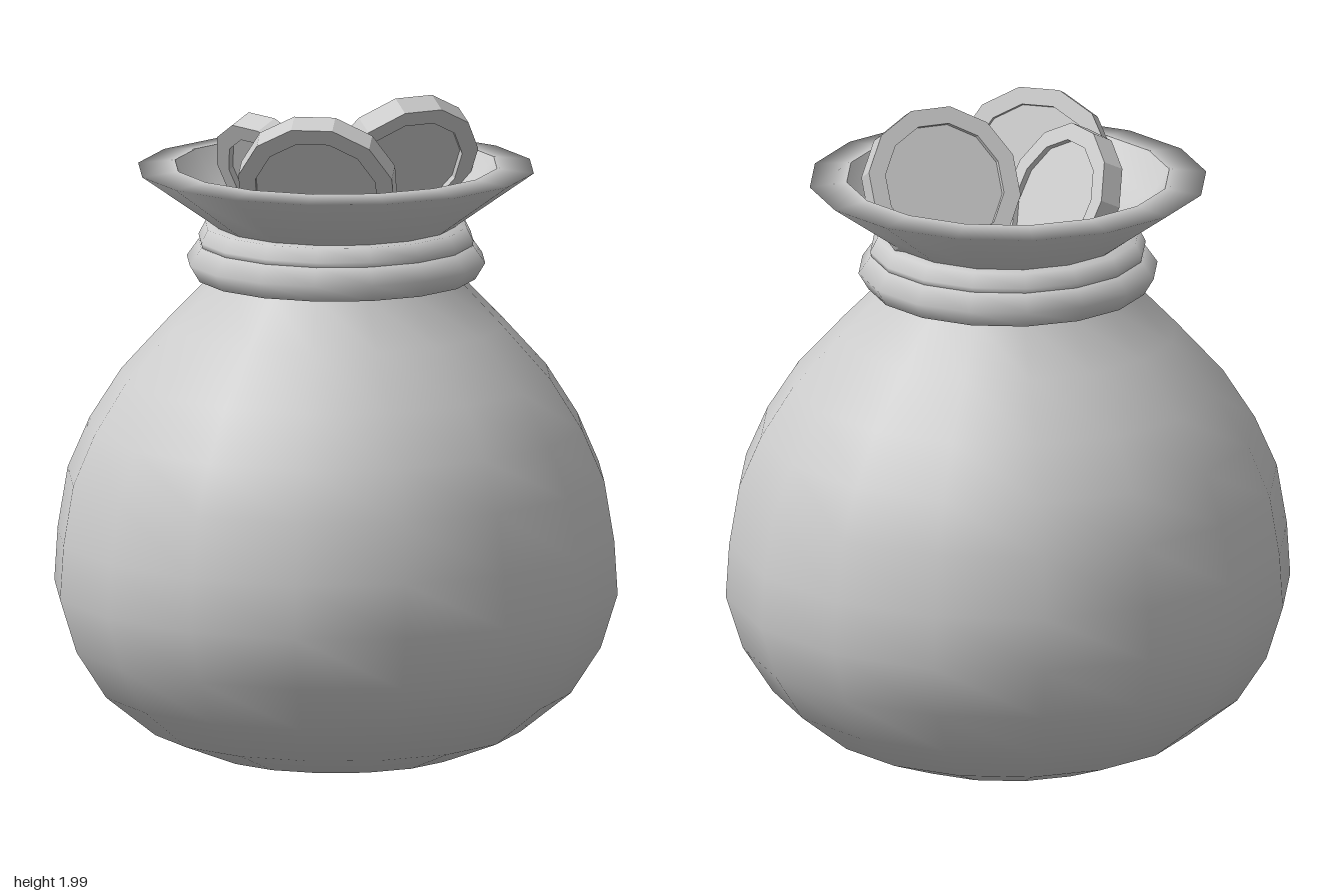
import * as THREE from 'three';

const SIDES = 16;
const pts = (list) => list.map(([r, y]) => new THREE.Vector2(r, y));

export function createModel() {
  const model = new THREE.Group();
  const smooth = new THREE.MeshStandardMaterial({ color: 0xcccccc, side: THREE.DoubleSide });
  const flat = new THREE.MeshStandardMaterial({ color: 0xcccccc, flatShading: true });

  const turned = (name, profile) => {
    const mesh = new THREE.Mesh(new THREE.LatheGeometry(pts(profile), SIDES), smooth);
    mesh.name = name;
    model.add(mesh);
  };

  // Bulging sack
  turned('sackBody', [
    [0, 0], [0.16, 0.005], [0.37, 0.03], [0.55, 0.1], [0.7, 0.22], [0.79, 0.36], [0.84, 0.52],
    [0.83, 0.68], [0.8, 0.86], [0.735, 1.01], [0.64, 1.16], [0.5, 1.315], [0.37, 1.45], [0.34, 1.53],
  ]);

  // Cord wound twice around the neck
  turned('lowerCord', [[0.35, 1.45], [0.415, 1.455], [0.445, 1.505], [0.41, 1.555], [0.34, 1.56]]);
  turned('upperCord', [[0.34, 1.545], [0.405, 1.55], [0.41, 1.57], [0.39, 1.61], [0.33, 1.615]]);

  // Flared mouth with its lip, and the hollow inside
  turned('flaredMouth', [[0.33, 1.58], [0.36, 1.615], [0.59, 1.778], [0.48, 1.79]]);
  turned('mouthInside', [[0.48, 1.79], [0.42, 1.7], [0.34, 1.645], [0.2, 1.615], [0, 1.605]]);

  // Coins with a raised edge on both faces
  const coinShape = new THREE.LatheGeometry(pts([
    [0, -0.018], [0.185, -0.018], [0.185, -0.035], [0.237, -0.035],
    [0.237, 0.035], [0.185, 0.035], [0.185, 0.018], [0, 0.018],
  ]), 12, Math.PI / 12).rotateX(Math.PI / 2);

  // position, lean from upright, heading of the lean
  const coins = [
    ['frontCoin', [-0.025, 1.757, 0.2], 0.43, 0],
    ['leftCoin', [0.176, 1.775, -0.107], 0.52, 0.64],
    ['rightCoin', [-0.165, 1.72, -0.004], 0.47, -0.755],
  ];
  for (const [name, position, lean, heading] of coins) {
    const coin = new THREE.Mesh(coinShape, flat);
    coin.name = name;
    coin.position.set(...position);
    coin.rotation.set(lean, heading, 0, 'YXZ');
    model.add(coin);
  }
  return model;
}
